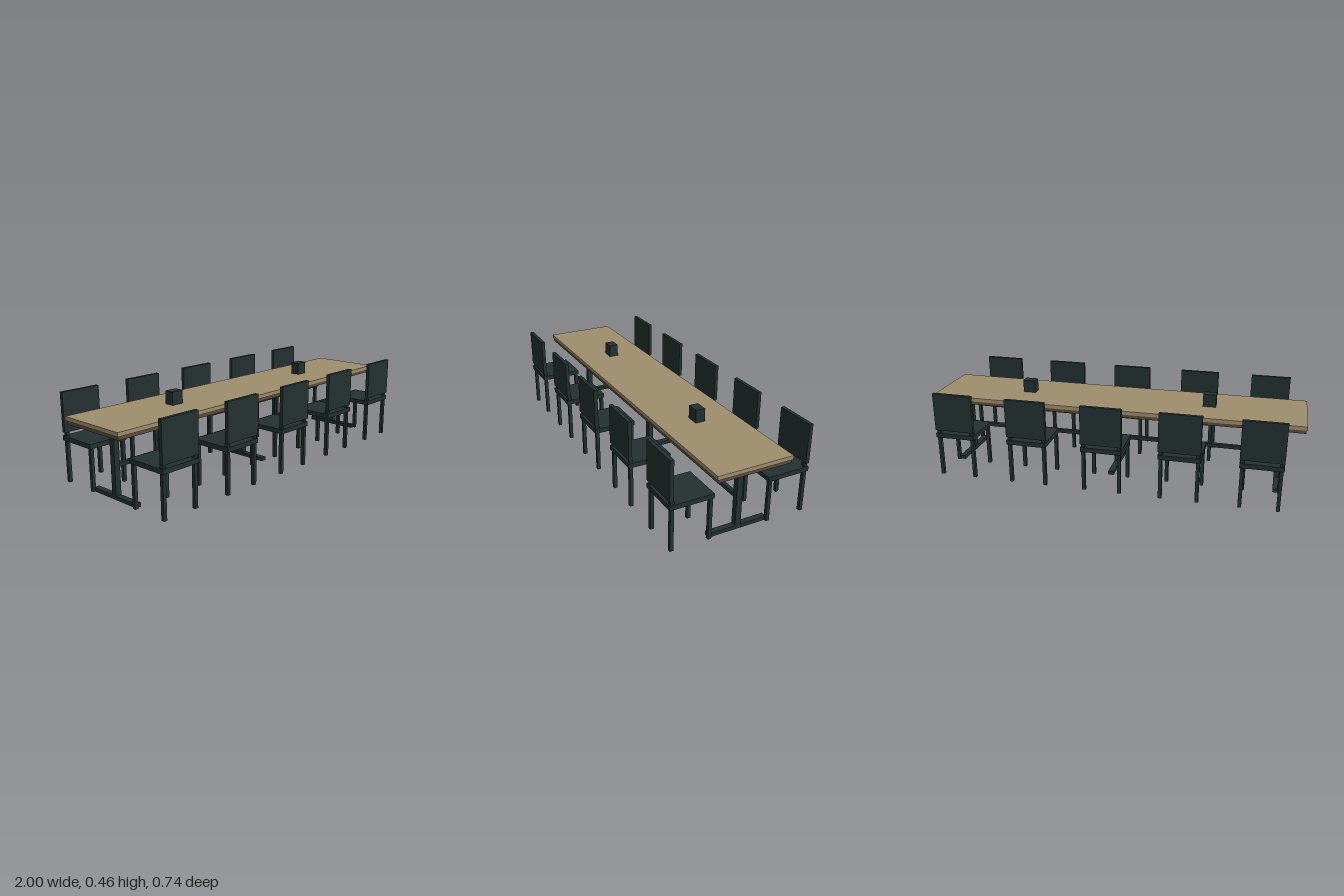
import * as THREE from 'three';

const material = (name, color) => {
  const m = new THREE.MeshStandardMaterial({ color });
  m.name = name;
  return m;
};

// Box given by its [min, max] range on each axis
function box(name, mat, [x0, x1], [y0, y1], [z0, z1]) {
  const mesh = new THREE.Mesh(new THREE.BoxGeometry(x1 - x0, y1 - y0, z1 - z0), mat);
  mesh.name = name;
  mesh.position.set((x0 + x1) / 2, (y0 + y1) / 2, (z0 + z1) / 2);
  return mesh;
}

const around = (c, half) => [c - half, c + half];

// Chair on the +z side of the table, its back towards +z
function createChair(mat) {
  const chair = new THREE.Group();
  chair.name = 'chair';
  chair.add(box('seat', mat, [-0.107, 0.107], [0.217, 0.241], [0.145, 0.37]));
  chair.add(box('backrest', mat, [-0.107, 0.107], [0.258, 0.462], [0.351, 0.37]));
  for (const side of [-1, 1]) {
    const x = around(side * 0.0935, 0.009);
    chair.add(box('innerLeg', mat, x, [0, 0.217], [0.15, 0.168]));
    // Outer legs run past the seat to carry the backrest
    chair.add(box('outerLeg', mat, x, [0, 0.258], [0.345, 0.363]));
  }
  return chair;
}

export function createModel() {
  const dark = material('dark metal', 0x243030);
  const wood = material('light wood', 0x9e8e6e);
  const brown = material('brown wood', 0x5c4b3c);

  const model = new THREE.Group();
  model.name = 'conferenceTable';

  // Table top with its slightly inset underside
  model.add(box('tabletop', wood, [-1, 1], [0.37, 0.39], [-0.195, 0.195]));
  model.add(box('underside', brown, [-0.995, 0.995], [0.352, 0.37], [-0.19, 0.19]));

  // Three T-shaped supports joined by a stretcher
  for (const x of [-0.875, 0, 0.875]) {
    const support = new THREE.Group();
    support.name = 'support';
    support.add(box('post', dark, around(x, 0.015), [0, 0.352], [-0.015, 0.015]));
    support.add(box('foot', dark, around(x, 0.015), [0, 0.02], [-0.157, 0.157]));
    model.add(support);
  }
  model.add(box('stretcher', dark, [-0.87, 0.87], [0.156, 0.176], [-0.01, 0.01]));

  // Small boxes on the table
  for (const x of [-0.5, 0.5]) {
    model.add(box('tableBox', dark, around(x, 0.034), [0.39, 0.457], [-0.025, 0.025]));
  }

  // Five chairs along each long side
  for (const x of [-0.8, -0.4, 0, 0.4, 0.8]) {
    for (const turn of [0, Math.PI]) {
      const chair = createChair(dark);
      chair.position.x = x;
      chair.rotation.y = turn;
      model.add(chair);
    }
  }
  return model;
}
